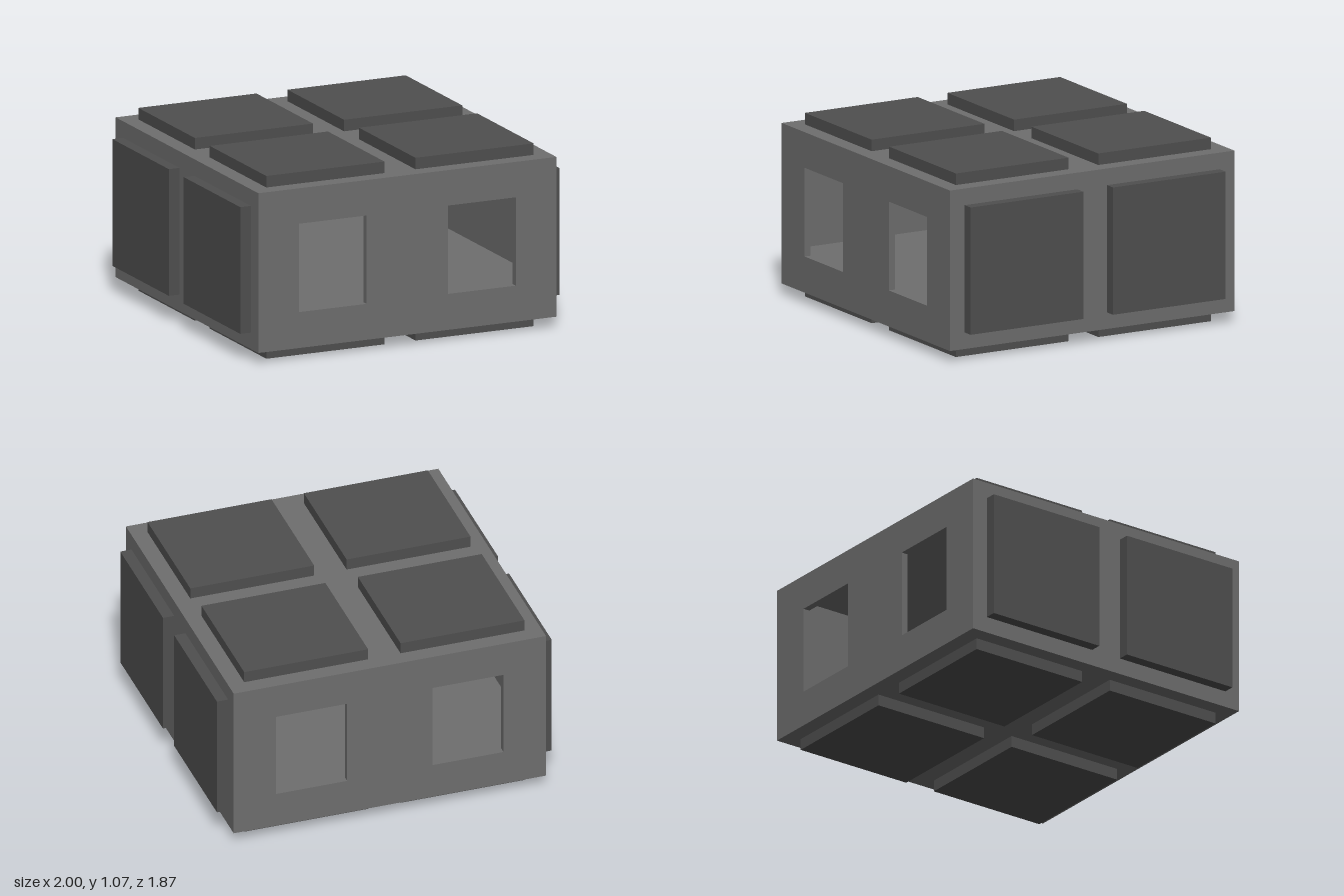
import * as THREE from 'three';

const HALF = 0.933, BOTTOM = 0.067, TOP = 1.0, WALL = 0.04, FLOOR_TOP = 0.27;
const PAD = 0.74, PAD_OFFSET = 0.467, PAD_DEPTH = 0.067;

const bodyMaterial = new THREE.MeshStandardMaterial({ color: 0x6e6e6e, flatShading: true });
const padMaterial = new THREE.MeshStandardMaterial({ color: 0x4f4f4f, flatShading: true });

function addBox(parent, name, material, size, position) {
  const mesh = new THREE.Mesh(new THREE.BoxGeometry(...size), material);
  mesh.name = name;
  mesh.position.set(...position);
  parent.add(mesh);
  return mesh;
}

function rectangle(Type, x0, y0, x1, y1) {
  const r = new Type();
  r.moveTo(x0, y0);
  r.lineTo(x1, y0);
  r.lineTo(x1, y1);
  r.lineTo(x0, y1);
  r.closePath();
  return r;
}

// Wall panel with two window openings
function windowWallGeometry() {
  const shape = rectangle(THREE.Shape, -HALF, BOTTOM, HALF, TOP);
  for (const side of [-1, 1]) {
    const cx = side * PAD_OFFSET;
    shape.holes.push(rectangle(THREE.Path, cx - 0.212, 0.277, cx + 0.212, 0.793));
  }
  return new THREE.ExtrudeGeometry(shape, { depth: WALL, bevelEnabled: false });
}

export function createModel() {
  const model = new THREE.Group();
  model.name = 'windowedBlock';

  // Hollow body: front and back walls with windows
  const body = new THREE.Group();
  body.name = 'body';
  model.add(body);
  const wallGeometry = windowWallGeometry();
  for (const [name, z] of [['frontWall', HALF - WALL], ['backWall', -HALF]]) {
    const wall = new THREE.Mesh(wallGeometry, bodyMaterial);
    wall.name = name;
    wall.position.z = z;
    body.add(wall);
  }

  // Side walls, thick floor and thin ceiling between the window walls
  const inner = 2 * (HALF - WALL);
  const midY = (BOTTOM + TOP) / 2;
  for (const [name, side] of [['leftWall', 1], ['rightWall', -1]]) {
    addBox(body, name, bodyMaterial, [WALL, TOP - BOTTOM, inner], [side * (HALF - WALL / 2), midY, 0]);
  }
  addBox(body, 'floor', bodyMaterial, [inner, FLOOR_TOP - BOTTOM, inner], [0, (FLOOR_TOP + BOTTOM) / 2, 0]);
  addBox(body, 'ceiling', bodyMaterial, [inner, WALL, inner], [0, TOP - WALL / 2, 0]);

  // Raised square pads: four above, four below, two on each side
  for (const a of [-PAD_OFFSET, PAD_OFFSET]) {
    for (const z of [-PAD_OFFSET, PAD_OFFSET]) {
      addBox(model, 'topPad', padMaterial, [PAD, PAD_DEPTH, PAD], [a, TOP + PAD_DEPTH / 2, z]);
      addBox(model, 'bottomPad', padMaterial, [PAD, PAD_DEPTH, PAD], [a, BOTTOM - PAD_DEPTH / 2, z]);
      addBox(model, 'sidePad', padMaterial, [PAD_DEPTH, PAD, PAD],
        [Math.sign(a) * (HALF + PAD_DEPTH / 2), midY, z]);
    }
  }
  return model;
}
